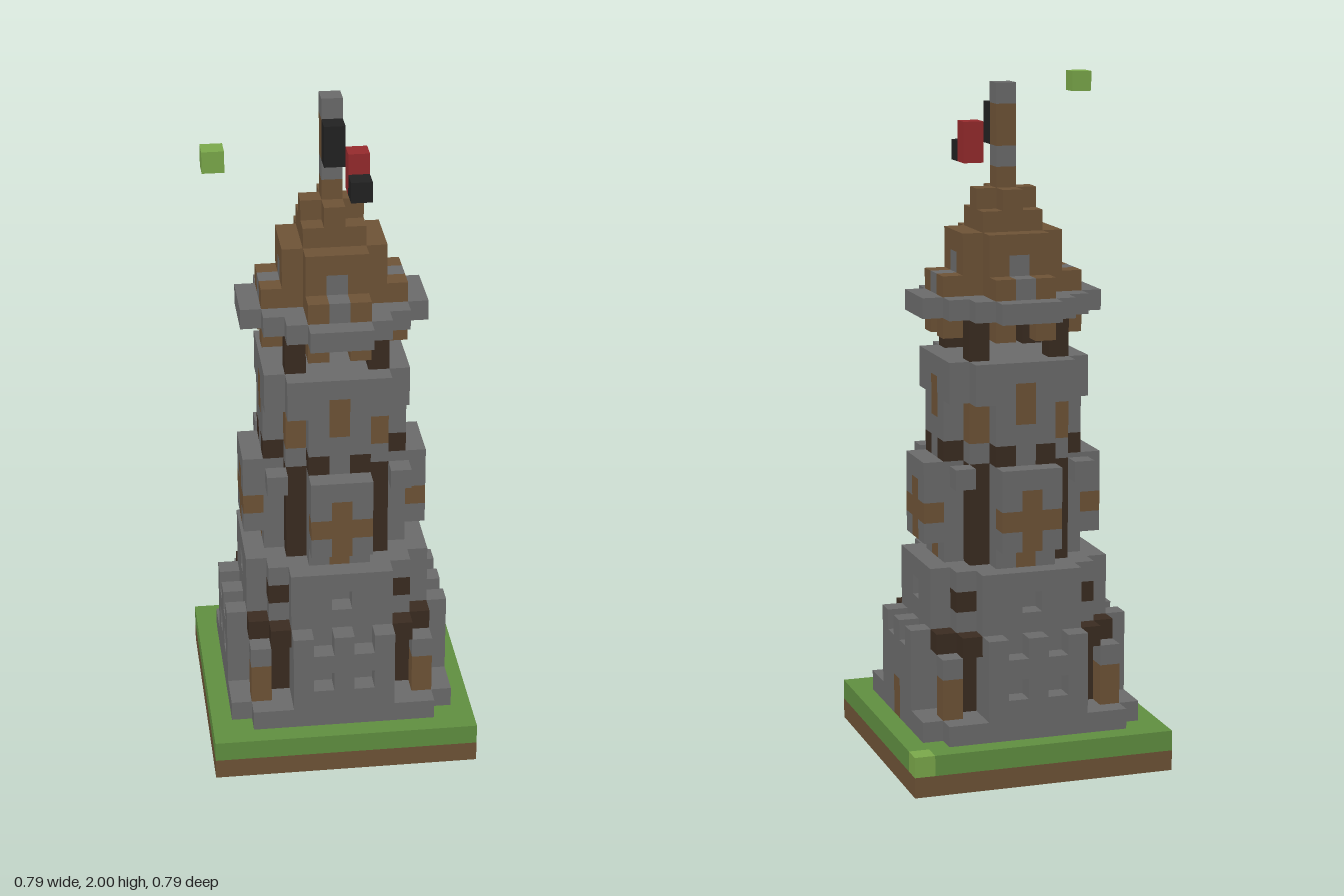
import * as THREE from 'three';

const U = 2 / 33; // one block
const mat = (name, color) => {
  const m = new THREE.MeshStandardMaterial({ color });
  m.name = name;
  return m;
};

export function createModel() {
  const M = {
    g: mat('stone', 0x6c6c6c), b: mat('wood', 0x6f5437), d: mat('dark wood', 0x3b2c21),
    G: mat('grass', 0x619041), L: mat('light grass', 0x7caa4b),
    R: mat('red cloth', 0x972b2d), K: mat('black cloth', 0x222222),
  };
  const root = new THREE.Group();
  root.name = 'tower';

  // Box covering whole blocks from (x0,y0,z0) to (x1,y1,z1), both included
  const block = (parent, name, c, [x0, x1], [y0, y1], [z0, z1]) => {
    const geo = new THREE.BoxGeometry((x1 - x0 + 1) * U, (y1 - y0 + 1) * U, (z1 - z0 + 1) * U);
    const mesh = new THREE.Mesh(geo, M[c]);
    mesh.position.set((x0 + x1) / 2 * U, (y0 + y1 + 1) / 2 * U, (z0 + z1) / 2 * U);
    mesh.name = name;
    parent.add(mesh);
  };

  // One-block-thick wall from text rows, top row first, centred on x = 0
  const wall = (parent, name, top, z, rows) => rows.forEach((row, r) => {
    const half = (row.length - 1) / 2;
    for (let i = 0; i < row.length;) {
      let j = i;
      while (row[j + 1] === row[i]) j++;
      if (row[i] !== '.') block(parent, name, row[i], [i - half, j - half], [top - r, top - r], [z, z]);
      i = j + 1;
    }
  });

  // Ground slab with one lighter corner
  block(root, 'soil', 'b', [-6, 6], [0, 0], [-6, 6]);
  block(root, 'lawn', 'G', [-6, 6], [1, 1], [-6, 5].map((v) => v + 1));
  block(root, 'lawn', 'G', [-6, 5], [1, 1], [-6, -6]);
  block(root, 'lawnCorner', 'L', [6, 6], [1, 1], [-6, -6]);
  block(root, 'floatingBlock', 'L', [-6, -6], [32, 32], [6, 6]);

  // Solid centres of the storeys
  block(root, 'foundation', 'g', [-4, 4], [2, 2], [-4, 4]);
  block(root, 'lowerCore', 'g', [-2, 2], [3, 9], [-2, 2]);
  block(root, 'middleCore', 'g', [-1, 1], [10, 14], [-1, 1]);
  block(root, 'upperCore', 'g', [-2, 2], [18, 19], [-2, 2]);
  block(root, 'upperCore', 'g', [-1, 1], [16, 17], [-1, 1]);
  block(root, 'upperCore', 'g', [-2, 2], [15, 15], [-2, 2]);
  block(root, 'eaveSlab', 'g', [-2, 2], [22, 22], [-2, 2]);
  block(root, 'roofCore', 'b', [-1, 1], [23, 26], [-1, 1]);
  block(root, 'roofTop', 'b', [0, 0], [27, 28], [0, 0]);

  // Four sides: front, right, back, left
  for (let s = 0; s < 4; s++) {
    const side = new THREE.Group();
    side.name = ['frontSide', 'rightSide', 'backSide', 'leftSide'][s];
    side.rotation.y = s * Math.PI / 2;
    root.add(side);

    // Battlemented ground storey; the right side has a door in place of windows
    block(side, 'groundArm', 'g', [-2, 2], [3, 6], [3, 4]);
    wall(side, 'groundWall', 6, 5, s === 1
      ? ['g.g.g', 'ggggg', 'ggggg', 'ggbgg', 'ggggbgggg']
      : ['g.g.g', 'ggggg', 'g.g.g', 'ggggg', 'ggggggggg']);

    // Second storey
    block(side, 'secondArm', 'g', [-2, 2], [7, 9], [3, 3]);
    wall(side, 'secondWall', 9, 4, ['ggggg', 'gg.gg', 'ggggg']);

    // Third storey with timber band
    block(side, 'thirdArm', 'g', [-1, 1], [11, 14], [2, 3]);
    block(side, 'thirdFoot', 'g', [-1, 1], [10, 10], [2, 2]);
    wall(side, 'thirdFoot', 10, 3, ['gbg']);
    wall(side, 'thirdWall', 14, 4, ['ggg', 'gbg', 'bbb', 'gbg']);

    // Fourth storey with tall window
    block(side, 'fourthArm', 'g', [-1, 1], [16, 17], [2, 2]);
    wall(side, 'fourthWall', 19, 3, ['ggggg', 'ggbgg', 'gbg', 'ggg', 'dgd']);

    // Belfry brackets and eaves
    wall(side, 'belfryBracket', 21, 3, ['b.b']);
    wall(side, 'eave', 22, 3, ['ggggg']);
    wall(side, 'eave', 22, 4, ['ggg']);

    // Roof arms with dormers
    wall(side, 'roofArm', 25, 2, ['bbb', 'bgb', 'bbb']);
    wall(side, 'roofFoot', 23, 3, ['bgb']);
    block(side, 'roofRidge', 'b', [0, 0], [27, 27], [1, 1]);

    // Corner parts
    const at = (name, c, x, z, y0, y1 = y0) => block(side, name, c, [x, x], [y0, y1], [z, z]);
    at('cornerPost', 'b', 4, 4, 3, 4);
    at('cornerPostCap', 'g', 4, 4, 5);
    at('lowerPillar', 'd', 3, 3, 3, 6);
    at('pillarBracket', 'd', 4, 3, 6);
    at('pillarBracket', 'd', 3, 4, 6);
    at('pillarBand', 'g', 3, 3, 7);
    at('lowerPillar', 'd', 3, 3, 8);
    at('pillarCap', 'g', 3, 3, 9);
    at('middlePillar', 'd', 2, 2, 10, 14);
    at('cornerCorbel', 'g', 3, 3, 14);
    at('upperPillar', 'b', 2, 2, 16, 17);
    at('belfryPillar', 'd', 2, 2, 20, 21);
  }

  // Flagpole and flag
  block(root, 'pole', 'g', [0, 0], [29, 29], [0, 0]);
  block(root, 'poleGrip', 'b', [0, 0], [30, 31], [0, 0]);
  block(root, 'poleTip', 'g', [0, 0], [32, 32], [0, 0]);
  block(root, 'flagInner', 'K', [0, 0], [30, 31], [1, 1]);
  block(root, 'flagMiddle', 'R', [1, 1], [29, 30], [2, 2]);
  block(root, 'flagOuter', 'K', [1, 1], [29, 29], [3, 3]);
  return root;
}
